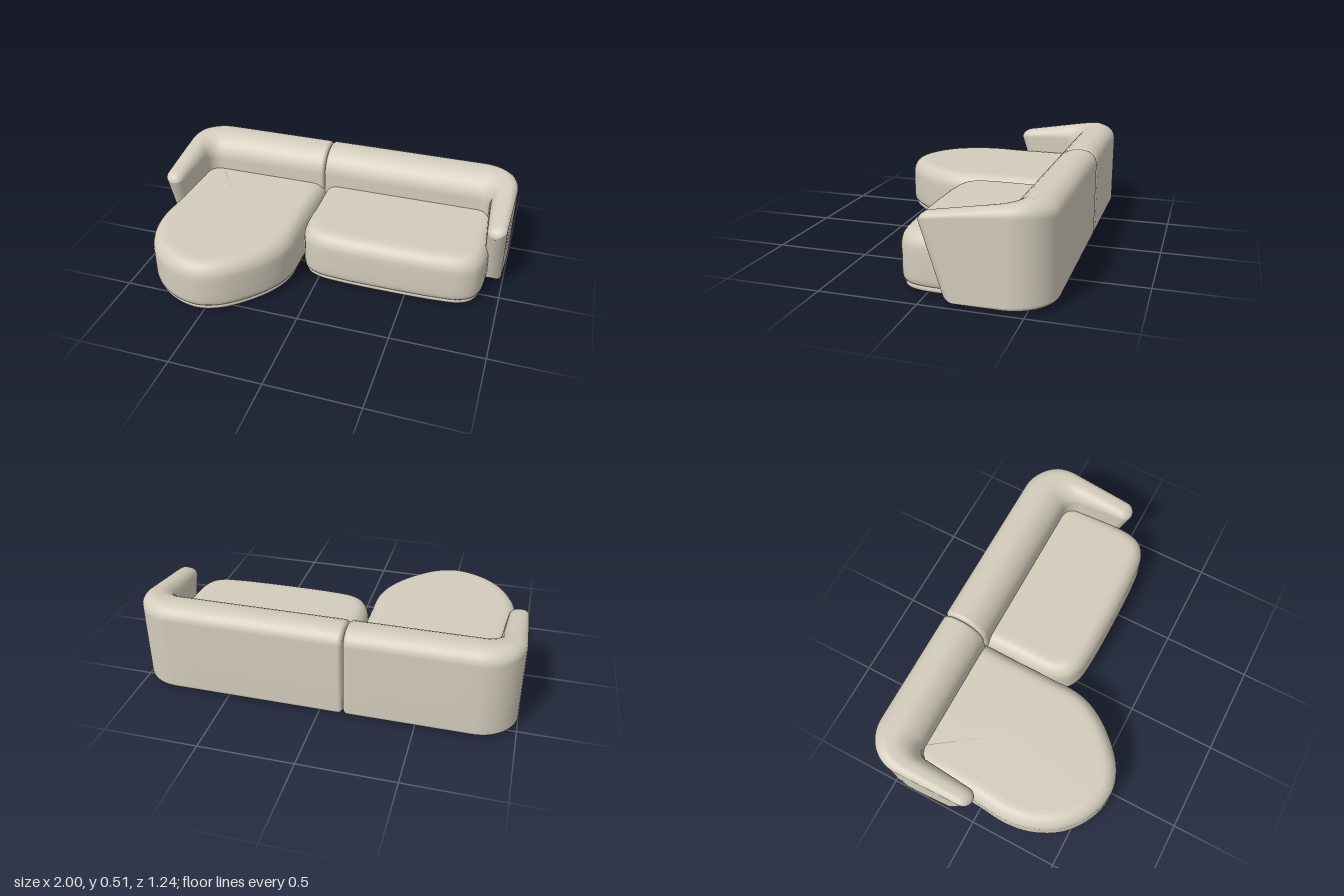
import * as THREE from 'three';

// Skin a stack of closed rings (arrays of Vector3) and cap both ends.
function loft(rings, flip = false) {
  const n = rings[0].length, pos = [], idx = [];
  const tri = (a, b, c) => (flip ? idx.push(a, c, b) : idx.push(a, b, c));
  rings.forEach((r) => r.forEach((p) => pos.push(p.x, p.y, p.z)));
  for (let i = 0; i < rings.length - 1; i++) {
    for (let j = 0; j < n; j++) {
      const k = (j + 1) % n, a = i * n + j, b = i * n + k;
      tri(a, b, b + n);
      tri(a, b + n, a + n);
    }
  }
  [[0, -1], [rings.length - 1, 1]].forEach(([i, side]) => {
    const c = new THREE.Vector3();
    rings[i].forEach((p) => c.addScaledVector(p, 1 / n));
    const start = pos.length / 3;
    rings[i].forEach((p) => pos.push(p.x, p.y, p.z));
    pos.push(c.x, c.y, c.z);
    for (let j = 0; j < n; j++) {
      const a = start + j, b = start + (j + 1) % n;
      if (side > 0) tri(a, b, start + n); else tri(b, a, start + n);
    }
  });
  const g = new THREE.BufferGeometry();
  g.setAttribute('position', new THREE.Float32BufferAttribute(pos, 3));
  g.setIndex(idx);
  g.computeVertexNormals();
  return g;
}

// Cushion slab: a plan outline raised through [inset, y] steps.
function slab(outline, steps) {
  const curve = new THREE.CatmullRomCurve3(
    outline.map(([x, z]) => new THREE.Vector3(x, 0, z)), true, 'centripetal');
  const pts = curve.getSpacedPoints(120).slice(0, 120), n = pts.length;
  return loft(steps.map(([inset, y]) => pts.map((p, i) => {
    const t = pts[(i + 1) % n].clone().sub(pts[(i + n - 1) % n]).normalize();
    return new THREE.Vector3(p.x + t.z * inset, y, p.z - t.x * inset);
  })));
}

// Rounded section across the wall, from the outer point to the inner point.
function wallSection(outer, inner, inset) {
  const full = Math.hypot(inner[0] - outer[0], inner[1] - outer[1]);
  const w = full - 2 * inset, y0 = 0.018 + inset, y1 = 0.51 - inset;
  const corners = [ // centre u, centre y, radii, start angle
    [0.15, 0.12, 1.5], [0.35, 0.3, 1], [0.5, 0.5, 0.5], [0.15, 0.12, 0]];
  const ring = [];
  corners.forEach(([ru, ry, start], k) => {
    const a = ru * w, b = ry * w;
    const cu = k < 2 ? a : w - a, cy = k === 0 || k === 3 ? y0 + b : y1 - b;
    for (let i = 0; i <= 8; i++) {
      const t = (start - i / 16) * Math.PI;
      const u = (inset + cu + a * Math.cos(t)) / full;
      ring.push([u, cy + b * Math.sin(t)]);
    }
  });
  return ring.map(([u, y]) => {
    const x = outer[0] + (inner[0] - outer[0]) * u;
    const z = outer[1] + (inner[1] - outer[1]) * u;
    // top slopes down towards the arm front, which rakes back to the floor
    const yy = y - 0.165 * Math.max(0, z + 0.5) * (y / 0.51);
    const rake = THREE.MathUtils.smoothstep(z, -0.36, 0);
    return new THREE.Vector3(x, yy, z - rake * 0.59 * Math.pow(Math.max(0, 0.4 - yy), 1.6));
  });
}

// Backrest that turns the corner into an arm; side = 1 or -1.
function wall(side, seamX) {
  const st = [];
  for (let i = 0; i <= 5; i++) { // rounded seam end
    const t = (i / 5) * Math.PI / 2, x = seamX + 0.022 * (1 - Math.cos(t));
    st.push([[x, -0.62], [x, -0.375], 0.022 * (1 - Math.sin(t))]);
  }
  for (let i = 1; i < 5; i++) {
    const x = THREE.MathUtils.lerp(seamX + 0.022, 0.79, i / 5);
    st.push([[x, -0.62], [x, -0.375], 0]);
  }
  for (let i = 0; i <= 14; i++) { // corner
    const t = (i / 14) * Math.PI / 2, s = Math.sin(t), c = Math.cos(t);
    st.push([[0.79 + 0.21 * s, -0.41 - 0.21 * c], [0.79 + 0.075 * s, -0.3 - 0.075 * c], 0]);
  }
  for (let i = 1; i <= 8; i++) { // arm
    const t = i / 8, l = THREE.MathUtils.lerp;
    st.push([[l(1, 0.99, t), l(-0.41, -0.045, t)], [l(0.865, 0.885, t), l(-0.3, -0.045, t)], 0]);
  }
  for (let i = 1; i <= 8; i++) { // rounded arm tip
    const t = (i / 8) * Math.PI / 2, z = -0.045 + 0.052 * Math.sin(t);
    st.push([[0.99, z], [0.885, z], 0.05 * (1 - Math.cos(t))]);
  }
  const rings = st.map(([o, i, d]) => wallSection(o, i, d));
  rings.forEach((r) => r.forEach((p) => { p.x *= side; }));
  return loft(rings, side < 0);
}

// Rounded cushion edge profile
const cushionSteps = [[0.03, 0.042], [0.012, 0.045], [0.004, 0.055], [0, 0.08], [0, 0.14], [0, 0.2]];
for (let i = 1; i <= 9; i++) {
  const t = (i / 9) * Math.PI / 2;
  cushionSteps.push([0.075 * (1 - Math.cos(t)), 0.215 + 0.09 * Math.sin(t)]);
}
cushionSteps.push([0.09, 0.306]);
const baseSteps = [[0.03, 0.015], [0.02, 0.017], [0.015, 0.024], [0.015, 0.036], [0.022, 0.046]];

// Plan outlines, running from the front round by +x
const chaisePlan = (back) => [
  [-0.53, 0.615], [-0.4, 0.575], [-0.26, 0.455], [-0.165, 0.32], [-0.126, 0.2], [-0.123, 0.05],
  [-0.122, -0.2], [-0.122, back + 0.06], [-0.14, back + 0.015], [-0.19, back], [-0.5, back],
  [-0.82, back], [-0.88, back + 0.02], [-0.905, back + 0.08], [-0.912, -0.2], [-0.918, 0],
  [-0.93, 0.17], [-0.905, 0.32], [-0.82, 0.475], [-0.68, 0.58]];
const seatPlan = (back) => [
  [0.4, 0.175], [0.68, 0.168], [0.8, 0.152], [0.868, 0.11], [0.9, 0.04], [0.91, -0.06],
  [0.91, -0.2], [0.905, back + 0.08], [0.88, back + 0.02], [0.82, back], [0.4, back],
  [-0.05, back], [-0.1, back + 0.015], [-0.118, back + 0.06], [-0.12, -0.2], [-0.122, -0.04],
  [-0.108, 0.05], [-0.07, 0.118], [0, 0.155], [0.12, 0.17]];

export function createModel() {
  const group = new THREE.Group();
  group.name = 'sectionalSofa';
  const fabric = new THREE.MeshStandardMaterial({ color: 0xd3ccbc });
  fabric.name = 'beigeFabric';
  const black = new THREE.MeshStandardMaterial({ color: 0x151515 });
  black.name = 'blackPlastic';
  const add = (name, geometry, material = fabric) => {
    const mesh = new THREE.Mesh(geometry, material);
    mesh.name = name;
    group.add(mesh);
    return mesh;
  };

  add('leftBackAndArm', wall(1, -0.128));
  add('rightBackAndArm', wall(-1, 0.132));
  add('chaiseCushion', slab(chaisePlan(-0.5), cushionSteps));
  add('chaiseBase', slab(chaisePlan(-0.42), baseSteps));
  add('seatCushion', slab(seatPlan(-0.5), cushionSteps));
  add('seatBase', slab(seatPlan(-0.42), baseSteps));

  // Feet: x, z, radius
  [[0.825, 0.05, 0.034], [0.825, -0.28, 0.034], [-0.06, 0.05, 0.034], [-0.06, -0.28, 0.034],
    [-0.28, -0.29, 0.034], [-0.81, -0.29, 0.034], [-0.29, 0.36, 0.034], [-0.79, 0.36, 0.034],
    [0.935, -0.18, 0.025], [-0.935, -0.18, 0.025]].forEach(([x, z, r]) => {
    add('foot', new THREE.CylinderGeometry(r, r * 0.92, 0.026, 20), black).position.set(x, 0.013, z);
  });
  return group;
}
